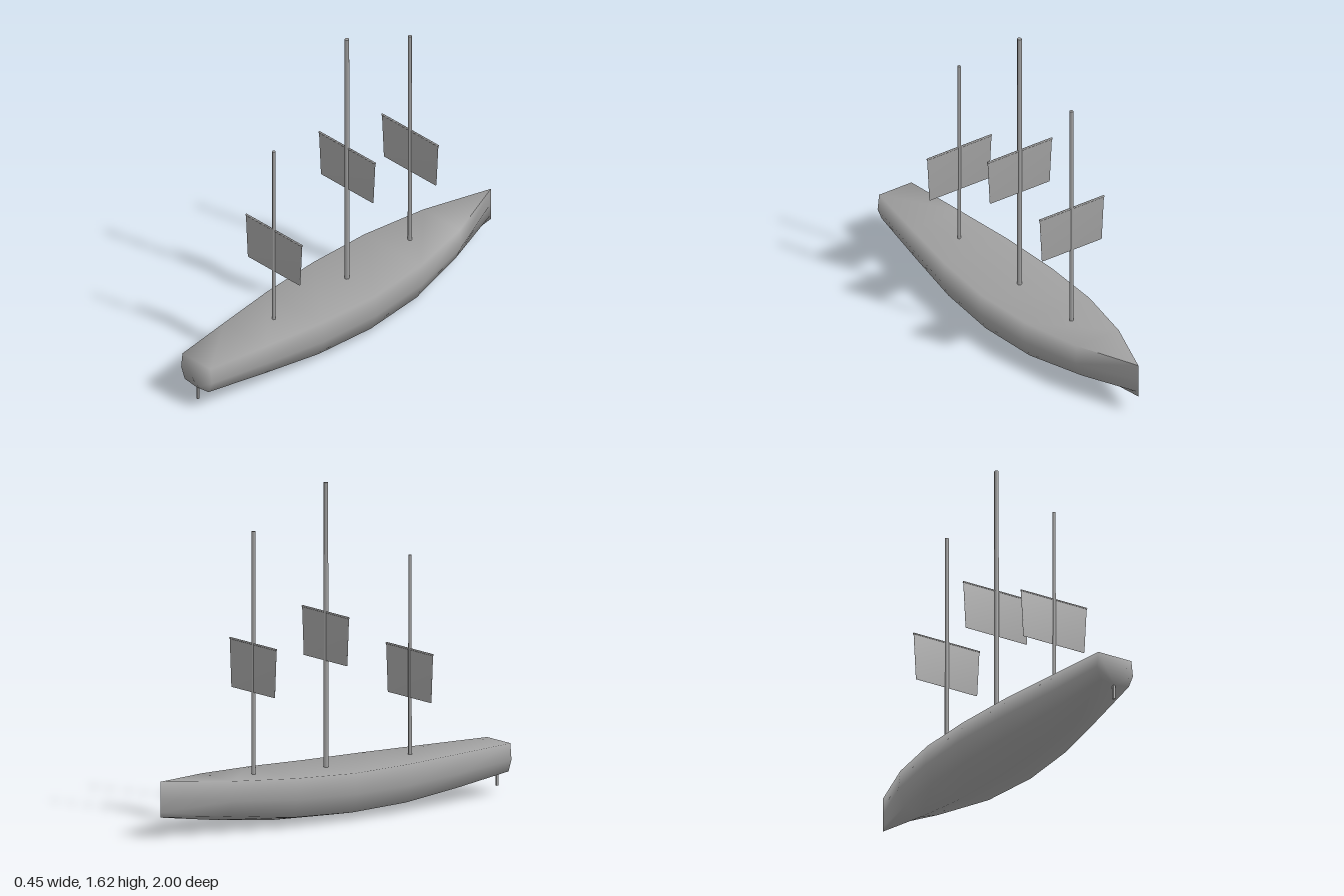
import * as THREE from 'three';
import { mergeVertices } from 'three/addons/utils/BufferGeometryUtils.js';

const grey = new THREE.MeshStandardMaterial({ color: 0xa0a0a0 });
grey.name = 'plain grey';

function addMesh(parent, name, geometry, x = 0, y = 0, z = 0) {
  const mesh = new THREE.Mesh(geometry, grey);
  mesh.name = name;
  mesh.position.set(x, y, z);
  parent.add(mesh);
  return mesh;
}

// Hull stations from stern to bow: z, keel y, bilge x/y, wale x/y, sheer x/y
const stations = [
  [1.0, 0.105, 0.08, 0.115, 0.104, 0.175, 0.095, 0.255],
  [0.667, 0.055, 0.122, 0.08, 0.153, 0.155, 0.142, 0.249],
  [0.333, 0.018, 0.165, 0.053, 0.203, 0.142, 0.187, 0.243],
  [0, 0.005, 0.183, 0.045, 0.223, 0.14, 0.208, 0.24],
  [-0.333, 0.018, 0.163, 0.055, 0.202, 0.147, 0.19, 0.25],
  [-0.667, 0.055, 0.095, 0.088, 0.133, 0.168, 0.123, 0.264],
  [-1.0, 0.105, 0, 0.13, 0, 0.195, 0, 0.28],
];

// Closed loft with a flat deck and transom, smooth all round
function hullGeometry() {
  const positions = [], index = [], n = 7;
  for (const [z, ky, bx, by, wx, wy, sx, sy] of stations) {
    positions.push(0, ky, z, bx, by, z, wx, wy, z, sx, sy, z, -sx, sy, z, -wx, wy, z, -bx, by, z);
  }
  for (let i = 0; i < stations.length - 1; i++) {
    for (let j = 0; j < n; j++) {
      const k = (j + 1) % n;
      const a = i * n + j, b = i * n + k, c = b + n, d = a + n;
      index.push(a, d, c, a, c, b);
    }
  }
  for (let j = 1; j < n - 1; j++) index.push(0, j, j + 1);
  const geometry = new THREE.BufferGeometry();
  geometry.setAttribute('position', new THREE.Float32BufferAttribute(positions, 3));
  geometry.setIndex(index);
  geometry.computeVertexNormals();
  return geometry;
}

// Thin cloth panel, narrower at the foot, with softened corner normals
function sailGeometry(width, height) {
  let geometry = new THREE.BoxGeometry(width, height, 0.006);
  const p = geometry.attributes.position;
  for (let i = 0; i < p.count; i++) if (p.getY(i) < 0) p.setX(i, p.getX(i) * 0.93);
  geometry.deleteAttribute('normal');
  geometry.deleteAttribute('uv');
  geometry = mergeVertices(geometry);
  geometry.computeVertexNormals();
  return geometry;
}

export function createModel() {
  const ship = new THREE.Group();
  ship.name = 'sailingShip';
  addMesh(ship, 'hull', hullGeometry());
  addMesh(ship, 'rudder', new THREE.BoxGeometry(0.01, 0.085, 0.012), 0, 0.077, 0.99);

  // Masts: name, z, top, radius, yard height
  const masts = [
    ['mizzen', 0.475, 1.22, 0.008, 0.76],
    ['main', -0.022, 1.63, 0.011, 0.997],
    ['fore', -0.45, 1.44, 0.0095, 0.89],
  ];
  const foot = 0.23;
  for (const [name, z, top, radius, yardY] of masts) {
    const rig = new THREE.Group();
    rig.name = name + 'Rig';
    rig.position.z = z;
    ship.add(rig);
    addMesh(rig, name + 'Mast', new THREE.CylinderGeometry(radius, radius * 1.1, top - foot, 8), 0, (top + foot) / 2);
    const yard = addMesh(rig, name + 'Yard', new THREE.CylinderGeometry(0.005, 0.005, 0.38, 6), 0, yardY, -0.002);
    yard.rotation.z = Math.PI / 2;
    addMesh(rig, name + 'Sail', sailGeometry(0.375, 0.235), 0, yardY - 0.1185, -0.002);
  }
  return ship;
}
